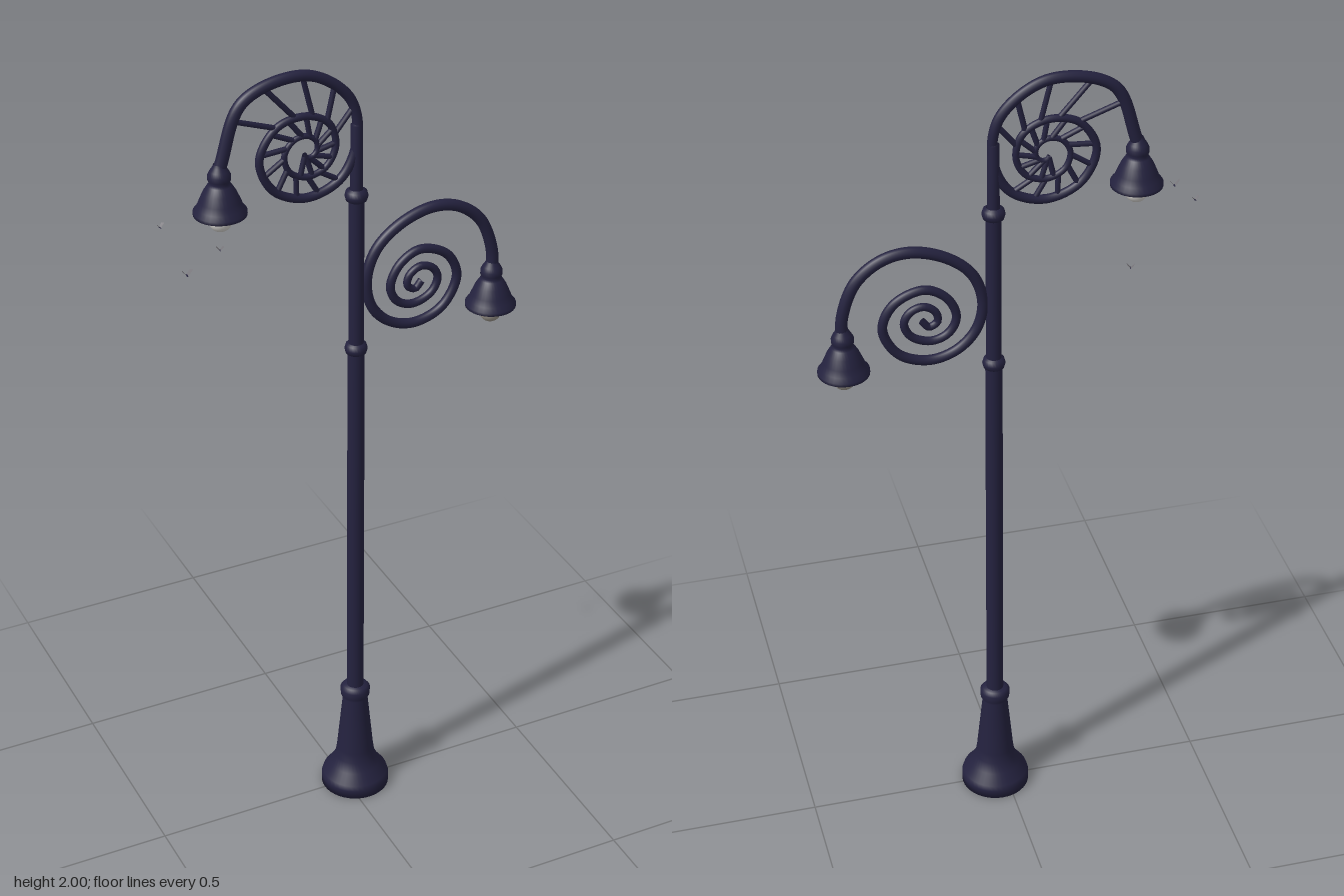
import * as THREE from 'three';

const mat = (name, color, side = THREE.FrontSide) => {
  const m = new THREE.MeshStandardMaterial({ color, side });
  m.name = name;
  return m;
};

export function createModel() {
  const root = new THREE.Group();
  const iron = mat('dark navy iron', 0x24223f, THREE.DoubleSide);
  const glass = mat('pale glass', 0xd2d0cc);
  const dimGlass = mat('dim glass', 0x9a948a);
  const lining = mat('shade lining', 0x77736c);
  const wingGrey = mat('moth grey', 0x77757a, THREE.DoubleSide);

  const add = (parent, name, geo, material, x = 0, y = 0, z = 0) => {
    const m = new THREE.Mesh(geo, material);
    m.name = name;
    m.position.set(x, y, z);
    parent.add(m);
    return m;
  };
  const lathe = (pts, seg = 32) =>
    new THREE.LatheGeometry(pts.map(([r, y]) => new THREE.Vector2(r, y)), seg);

  // Round tube whose radius shrinks smoothly from r0 to r1
  const taperedTube = (curve, seg, r0, r1) => {
    const sides = 12;
    const geo = new THREE.TubeGeometry(curve, seg, r0, sides, false);
    const p = geo.attributes.position;
    const v = new THREE.Vector3();
    for (let i = 0; i <= seg; i++) {
      const c = curve.getPointAt(i / seg);
      const k = 1 + (r1 / r0 - 1) * (i / seg);
      for (let j = 0; j <= sides; j++) {
        const n = i * (sides + 1) + j;
        v.fromBufferAttribute(p, n).sub(c).multiplyScalar(k).add(c);
        p.setXYZ(n, v.x, v.y, v.z);
      }
    }
    return geo;
  };

  // Post: flared foot, shaft and collars
  const postX = 0.027;
  add(root, 'base', lathe([[0, 0], [0.085, 0], [0.085, 0.022], [0.081, 0.035], [0.062, 0.06], [0.05, 0.085],
    [0.046, 0.11], [0.031, 0.265], [0.036, 0.275], [0.037, 0.293], [0.03, 0.302], [0.018, 0.305]], 40), iron, postX);
  add(root, 'shaft', lathe([[0.021, 0.29], [0.02, 1.27], [0.018, 1.28], [0.018, 1.67], [0.014, 1.685],
    [0.014, 1.84], [0, 1.85]], 24), iron, postX);
  for (const y of [1.275, 1.668]) {
    add(root, 'collar', lathe([[0.016, -0.016], [0.024, -0.011], [0.027, 0], [0.024, 0.011], [0.016, 0.016]], 24),
      iron, postX, y);
  }

  // Upper scroll: radius at each 45 degree step, winding clockwise inward
  const radii = [0.208, 0.21, 0.181, 0.15, 0.123, 0.117, 0.112, 0.112, 0.113, 0.1, 0.085, 0.079, 0.071, 0.066,
    0.061, 0.058, 0.053, 0.045, 0.038, 0.032, 0.026, 0.02, 0.014, 0.008];
  const scrollPoint = (t) => {
    const i = Math.min(Math.floor(t), radii.length - 2);
    const r = THREE.MathUtils.lerp(radii[i], radii[i + 1], t - i);
    const a = Math.PI - t * Math.PI / 4;
    return new THREE.Vector3(-0.095 + r * Math.cos(a), 1.8 + r * Math.sin(a), 0);
  };
  const upperCurve = new THREE.CatmullRomCurve3(radii.map((_, i) => scrollPoint(i)));
  add(root, 'upperScroll', taperedTube(upperCurve, 220, 0.0145, 0.006), iron);

  // Ribs joining each turn of the upper scroll to the next one in
  const rib = (a, b) => add(root, 'scrollRib',
    new THREE.TubeGeometry(new THREE.LineCurve3(a, b), 1, 0.0065, 8), iron);
  for (let t = 0.7; t < 14.5; t += 0.62) {
    if (t > 3.6 && t < 4.6) continue;
    rib(scrollPoint(t), scrollPoint(Math.min(t + 8.3, 22.5)));
  }

  // Lower scroll, plain
  const lowerPts = [[0.378, 1.39], [0.377, 1.45], [0.345, 1.535], [0.287, 1.583], [0.22, 1.596], [0.14, 1.572],
    [0.078, 1.52], [0.053, 1.445], [0.068, 1.372], [0.115, 1.323], [0.18, 1.306], [0.25, 1.333], [0.286, 1.405],
    [0.258, 1.467], [0.188, 1.494], [0.136, 1.465], [0.114, 1.412], [0.133, 1.372], [0.173, 1.357], [0.22, 1.376],
    [0.236, 1.412], [0.221, 1.44], [0.19, 1.45], [0.163, 1.433], [0.158, 1.407], [0.178, 1.395], [0.194, 1.412]];
  const lowerCurve = new THREE.CatmullRomCurve3(lowerPts.map(([x, y]) => new THREE.Vector3(x, y, 0)));
  add(root, 'lowerScroll', taperedTube(lowerCurve, 220, 0.0145, 0.009), iron);

  // Lamps: bell shade with knob, pale underside and bulb
  const lamp = (name, x, y, bulbMat) => {
    const g = new THREE.Group();
    g.name = name;
    g.position.set(x, y, 0);
    root.add(g);
    add(g, 'shade', lathe([[0.055, 0], [0.06, 0.002], [0.06, 0.01], [0.052, 0.02], [0.046, 0.035], [0.037, 0.056],
      [0.027, 0.072], [0.022, 0.077], [0.026, 0.085], [0.026, 0.096], [0.021, 0.106], [0.015, 0.115],
      [0.012, 0.122]]), iron);
    add(g, 'shadeLining', new THREE.CircleGeometry(0.056, 32).rotateX(Math.PI / 2), lining, 0, 0.003);
    add(g, 'bulb', new THREE.SphereGeometry(0.027, 24, 16), bulbMat, 0, -0.013);
  };
  lamp('upperLamp', -0.303, 1.693, glass);
  lamp('lowerLamp', 0.378, 1.302, dimGlass);

  // Moths: slim body with two raised wings
  const moth = (x, y, z, size, turn) => {
    const g = new THREE.Group();
    g.name = 'moth';
    g.position.set(x, y, z);
    g.rotation.y = turn;
    g.scale.setScalar(size);
    root.add(g);
    add(g, 'mothBody', new THREE.SphereGeometry(1, 8, 6).scale(0.0018, 0.0018, 0.006), iron);
    for (const s of [-1, 1]) {
      const wing = new THREE.BufferGeometry();
      wing.setAttribute('position', new THREE.Float32BufferAttribute(
        [0, 0, 0.005, s * 0.012, 0.013, 0.004, 0, 0, -0.005, s * 0.009, 0.011, -0.005], 3));
      wing.setIndex([0, 1, 2, 2, 1, 3]);
      wing.computeVertexNormals();
      add(g, 'mothWing', wing, wingGrey);
    }
  };
  moth(-0.425, 1.665, -0.05, 0.8, 0.3);
  moth(-0.426, 1.62, 0.1, 1.05, 0);
  moth(-0.262, 1.545, -0.105, 0.8, -0.3);

  return root;
}
